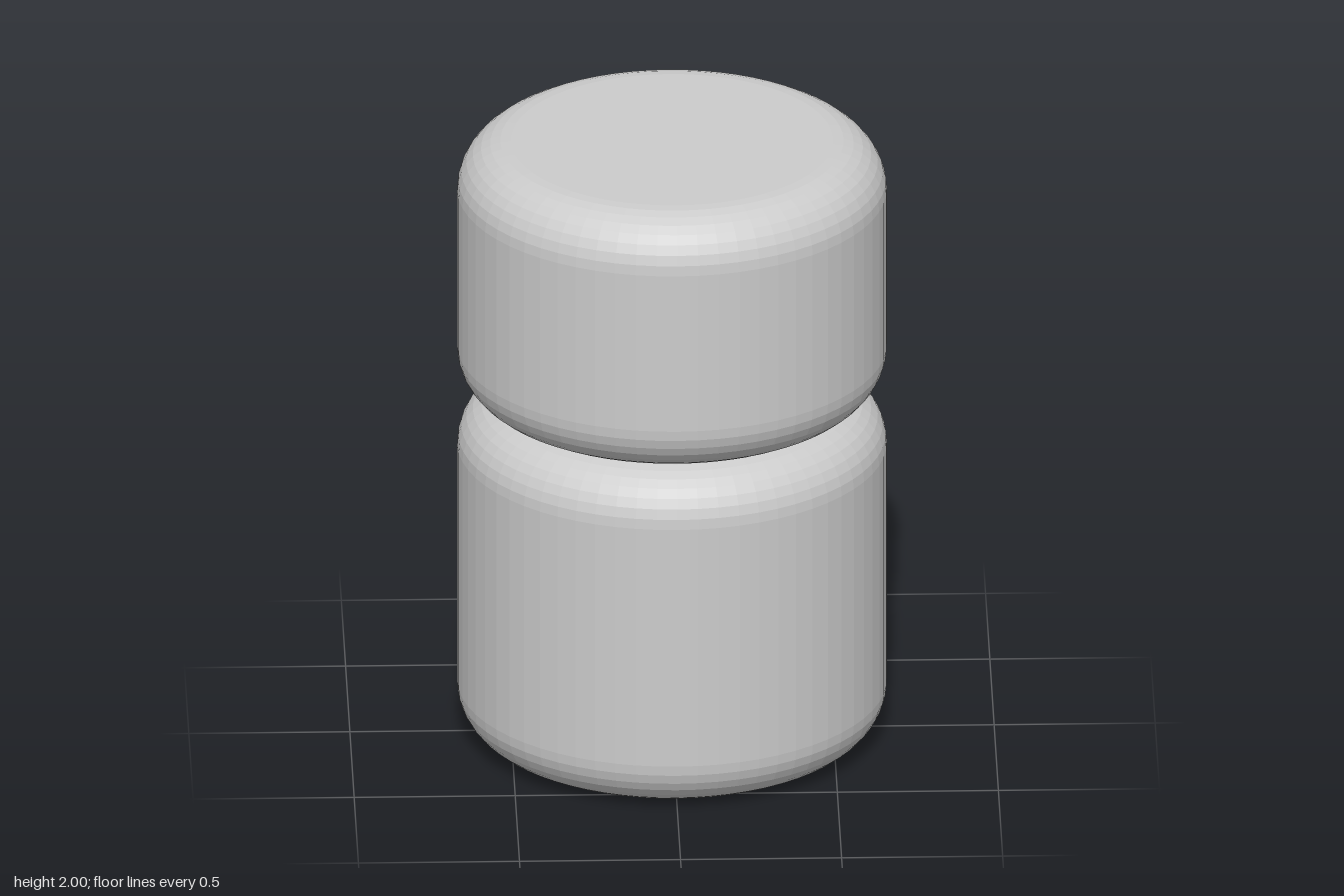
import * as THREE from 'three';

const RADIUS = 0.667, FILLET = 0.167, BORE = 0.048;
const SIDES = 64, STEPS = 8;

// Outer outline of a drum with rounded rims, from bottom to top
function rimProfile(bottom, top) {
  const points = [];
  const r = RADIUS - FILLET;
  for (const [cy, start] of [[bottom + FILLET, -Math.PI / 2], [top - FILLET, 0]]) {
    for (let i = 0; i <= STEPS; i++) {
      const a = start + (i / STEPS) * Math.PI / 2;
      points.push(new THREE.Vector2(r + FILLET * Math.cos(a), cy + FILLET * Math.sin(a)));
    }
  }
  return points;
}

function drum(name, points, material) {
  const mesh = new THREE.Mesh(new THREE.LatheGeometry(points, SIDES), material);
  mesh.name = name;
  return mesh;
}

export function createModel() {
  const group = new THREE.Group();
  group.name = 'stackedDrums';
  const material = new THREE.MeshStandardMaterial({ color: 0xcccccc, flatShading: true });
  const v = (x, y) => new THREE.Vector2(x, y);
  const joint = 1.138;

  // Lower drum with a narrow bore up its axis
  group.add(drum('lowerDrum', [
    v(BORE, joint), v(BORE, 0), ...rimProfile(0, joint), v(BORE, joint),
  ], material));

  // Shorter solid drum resting on top
  group.add(drum('upperDrum', [
    v(0, joint), ...rimProfile(joint, 2), v(0, 2),
  ], material));

  return group;
}
